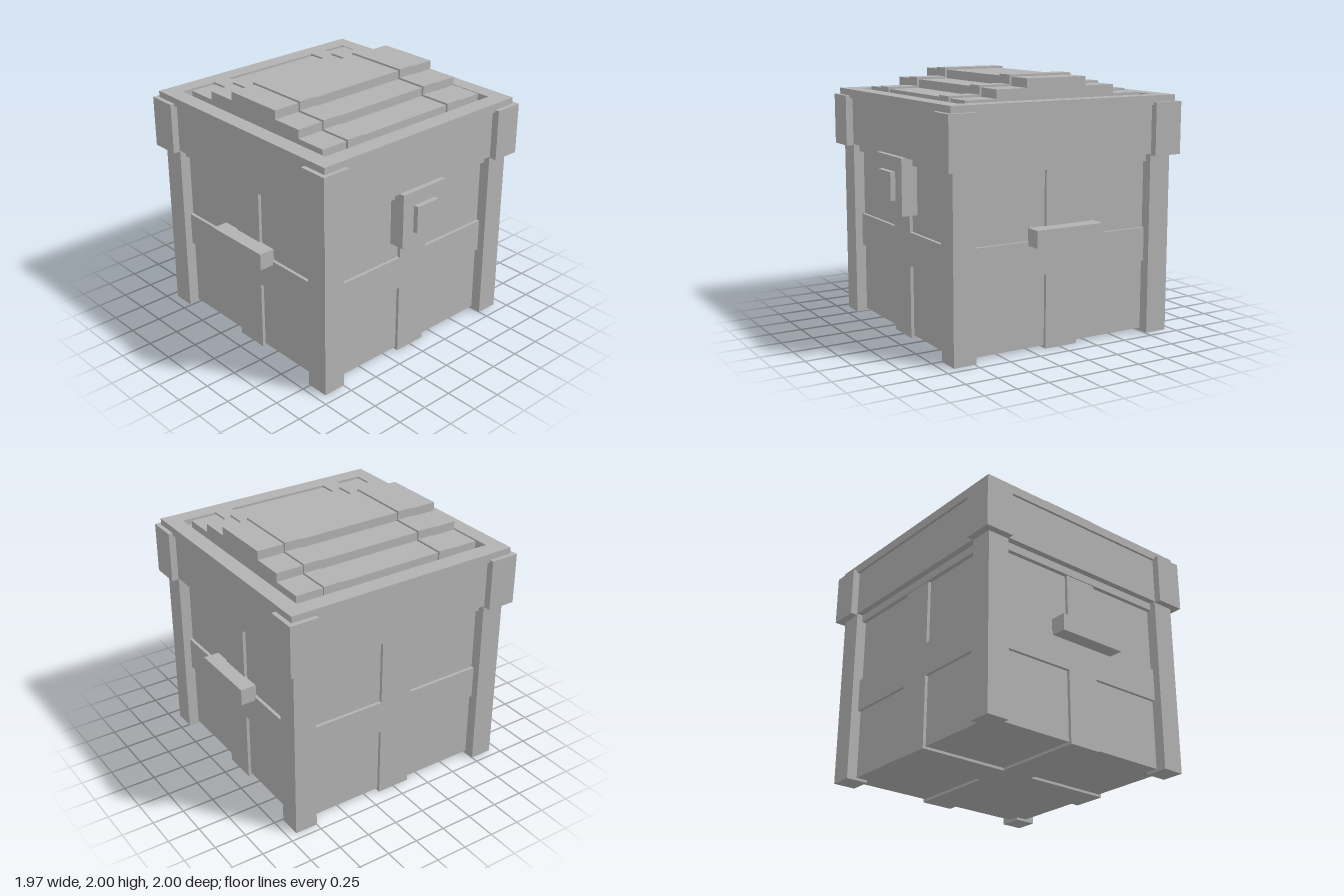
import * as THREE from 'three';

export function createModel() {
  const model = new THREE.Group();
  const grey = new THREE.MeshStandardMaterial({ color: 0xb2b2b2 });
  grey.name = 'plain grey';

  // The chest itself is centred slightly behind the origin, since the lock sticks out in front.
  const chest = new THREE.Group();
  chest.name = 'chest';
  chest.position.z = -0.012;
  model.add(chest);

  // Box given by its extents on each axis.
  function box(name, [x0, x1], [y0, y1], [z0, z1]) {
    const mesh = new THREE.Mesh(new THREE.BoxGeometry(x1 - x0, y1 - y0, z1 - z0), grey);
    mesh.name = name;
    mesh.position.set((x0 + x1) / 2, (y0 + y1) / 2, (z0 + z1) / 2);
    chest.add(mesh);
    return mesh;
  }
  const both = (r) => [-r, r];
  const side = (s, a, b) => (s > 0 ? [a, b] : [-b, -a]);

  // Body panels with raised straps around the sides and underneath
  box('bodyPanels', both(0.845), [0.02, 1.39], both(0.845));
  box('strapFrontToBack', both(0.135), [0, 1.36], both(0.87));
  box('strapSideToSide', both(0.87), [0, 1.36], both(0.135));
  box('belt', both(0.87), [0.56, 0.82], both(0.87));
  box('bodyRim', both(0.88), [1.33, 1.4], both(0.88));

  // Lid band and recessed floor
  box('lidBand', both(0.93), [1.39, 1.76], both(0.93));

  // Legs and lid corner blocks
  for (const sx of [-1, 1]) {
    for (const sz of [-1, 1]) {
      box('leg', side(sx, 0.75, 0.93), [0, 1.4], side(sz, 0.75, 0.93));
      box('lidCorner', side(sx, 0.755, 0.985), [1.38, 1.78], side(sz, 0.755, 0.988));
    }
    // Side handles
    box('handle', side(sx, 0.86, 0.985), [0.79, 0.92], both(0.285));
  }

  // Square frame on top of the lid
  const frame = new THREE.Shape();
  frame.moveTo(-0.95, -0.953).lineTo(0.95, -0.953).lineTo(0.95, 0.953).lineTo(-0.95, 0.953).closePath();
  const opening = new THREE.Path();
  opening.moveTo(-0.825, -0.82).lineTo(-0.825, 0.82).lineTo(0.825, 0.82).lineTo(0.825, -0.82).closePath();
  frame.holes.push(opening);
  const frameGeometry = new THREE.ExtrudeGeometry(frame, { depth: 0.07, bevelEnabled: false });
  frameGeometry.rotateX(-Math.PI / 2);
  const lidFrame = new THREE.Mesh(frameGeometry, grey);
  lidFrame.name = 'lidFrame';
  lidFrame.position.y = 1.76;
  chest.add(lidFrame);

  // Stepped lid top, with two straps following the steps
  const steps = [[0.75, 1.755, 1.845], [0.5, 1.845, 1.912], [0.25, 1.912, 1.98]];
  for (const [halfDepth, bottom, top] of steps) {
    box('lidStep', both(0.785), [bottom, top], both(halfDepth));
    for (const s of [-1, 1]) {
      box('lidStrap', side(s, 0.43, 0.57), [bottom, top + 0.015], both(halfDepth + 0.016));
    }
  }

  // Lock plate and knob
  box('lockPlate', both(0.215), [0.96, 1.392], [0.84, 0.97]);
  box('lockKnob', both(0.108), [1.065, 1.28], [0.95, 1.01]);

  return model;
}
